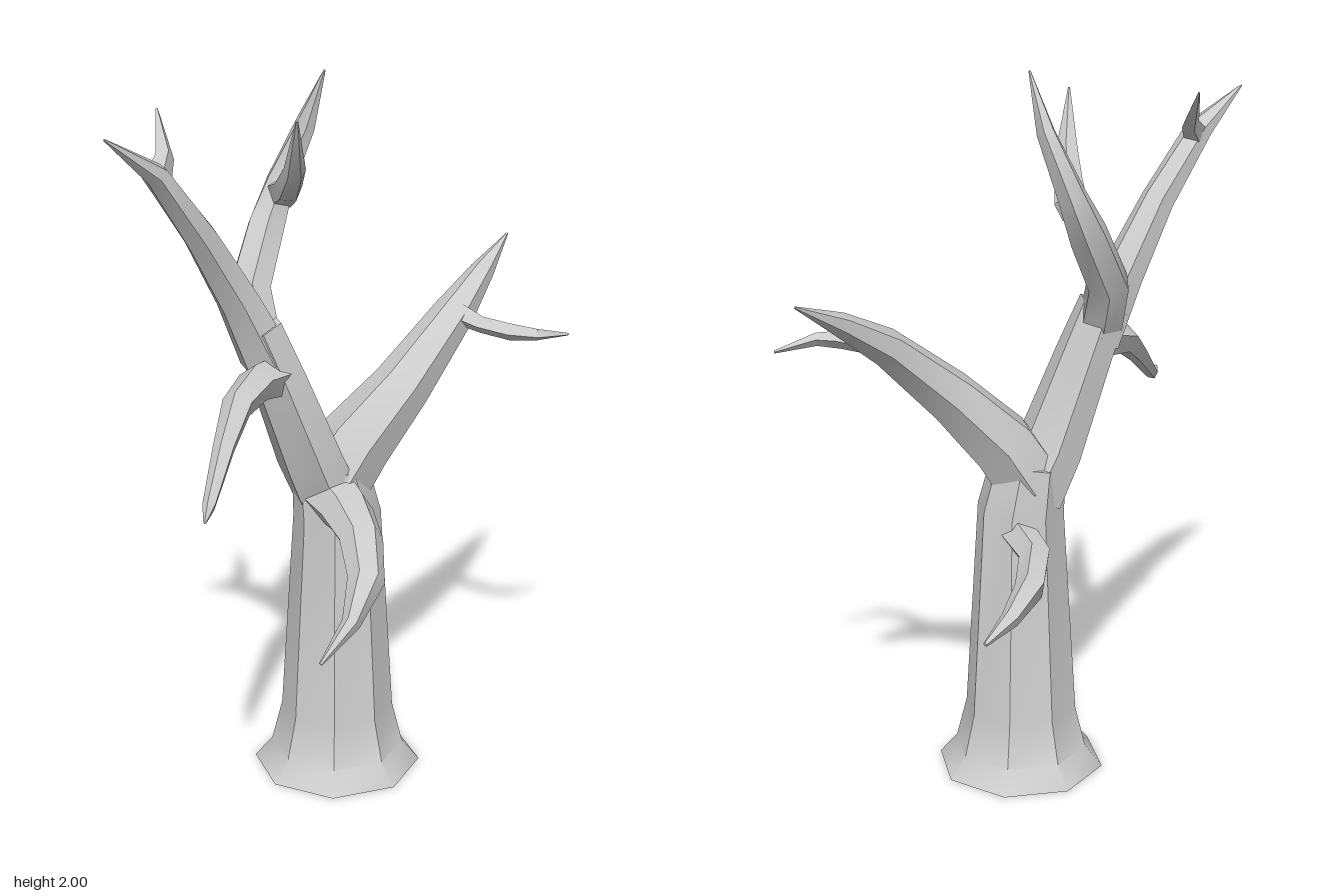
import * as THREE from 'three';
import { toCreasedNormals } from 'three/addons/utils/BufferGeometryUtils.js';

// Lofts a tapering limb through rings [x, y, z, radius, secondRadius?].
function limbGeometry(rings, sides) {
  const centres = rings.map(r => new THREE.Vector3(r[0], r[1], r[2]));
  const last = rings.length - 1;
  const positions = [], index = [];
  const normal = new THREE.Vector3(1, 0, 0);
  const p = new THREE.Vector3();
  rings.forEach((ring, i) => {
    const r1 = ring[3], r2 = ring[4] ?? r1;
    // Ring plane halves the bend; the frame is carried along the path.
    const into = centres[Math.max(i, 1)].clone().sub(centres[Math.max(i, 1) - 1]).normalize();
    const out = centres[Math.min(i + 1, last)].clone().sub(centres[Math.min(i, last - 1)]).normalize();
    const tangent = into.add(out).normalize();
    normal.addScaledVector(tangent, -normal.dot(tangent)).normalize();
    const binormal = tangent.clone().cross(normal);
    for (let s = 0; s < sides; s++) {
      const a = s / sides * Math.PI * 2;
      p.copy(centres[i]).addScaledVector(normal, Math.cos(a) * r1).addScaledVector(binormal, Math.sin(a) * r2);
      positions.push(p.x, p.y, p.z);
    }
  });
  for (let i = 0; i < last; i++) {
    for (let s = 0; s < sides; s++) {
      const a = i * sides + s, b = i * sides + (s + 1) % sides;
      index.push(a, b, b + sides, a, b + sides, a + sides);
    }
  }
  // End caps
  const top = last * sides;
  for (let s = 1; s < sides - 1; s++) {
    index.push(0, s + 1, s, top, top + s, top + s + 1);
  }
  const geometry = new THREE.BufferGeometry();
  geometry.setAttribute('position', new THREE.Float32BufferAttribute(positions, 3));
  geometry.setIndex(index);
  return toCreasedNormals(geometry, 0.7);
}

export function createModel() {
  const tree = new THREE.Group();
  tree.name = 'bareTree';
  const bark = new THREE.MeshStandardMaterial({ color: 0xcccccc });
  const addLimb = (name, sides, rings) => {
    const mesh = new THREE.Mesh(limbGeometry(rings, sides), bark);
    mesh.name = name;
    tree.add(mesh);
  };

  // Octagonal trunk with a flared foot
  addLimb('trunk', 8, [
    [0, 0, 0, 0.24], [0, 0.06, 0, 0.19], [0, 0.18, 0, 0.16],
    [0, 0.78, 0, 0.123], [-0.02, 0.92, -0.01, 0.105],
  ]);

  // Stem leaning to the right, forking into two upper limbs
  addLimb('upperStem', 6, [
    [-0.02, 0.82, -0.01, 0.09, 0.11], [-0.085, 0.95, -0.015, 0.08, 0.115],
    [-0.17, 1.2, -0.05, 0.07, 0.095], [-0.225, 1.35, -0.07, 0.065, 0.08],
  ]);
  addLimb('upperRightLimb', 6, [
    [-0.2, 1.26, -0.06, 0.07, 0.085], [-0.275, 1.43, -0.085, 0.056, 0.066],
    [-0.4, 1.62, -0.075, 0.045, 0.05], [-0.54, 1.805, -0.075, 0.03, 0.045],
    [-0.69, 1.91, -0.07, 0.003],
  ]);
  addLimb('upperRightTwig', 4, [
    [-0.52, 1.79, -0.085, 0.035], [-0.465, 1.83, -0.13, 0.025], [-0.41, 1.93, -0.23, 0.003],
  ]);
  addLimb('upperBackLimb', 6, [
    [-0.215, 1.29, -0.07, 0.06, 0.07], [-0.185, 1.43, -0.145, 0.06, 0.065],
    [-0.085, 1.58, -0.19, 0.055, 0.055], [-0.025, 1.69, -0.2, 0.04, 0.048],
    [0.02, 1.85, -0.145, 0.025, 0.04], [0.02, 2.0, -0.07, 0.003],
  ]);
  addLimb('upperBackTwig', 5, [
    [-0.03, 1.66, -0.19, 0.045], [-0.1, 1.7, -0.08, 0.038],
    [-0.16, 1.77, 0.015, 0.03], [-0.225, 1.92, 0.1, 0.003],
  ]);

  // Long left limb with its twig
  addLimb('leftLimb', 6, [
    [-0.02, 0.86, -0.01, 0.1, 0.11], [0.055, 0.98, 0.015, 0.095, 0.11],
    [0.19, 1.125, 0.06, 0.075, 0.085], [0.39, 1.295, 0.06, 0.052, 0.062],
    [0.54, 1.385, 0.025, 0.032, 0.036], [0.69, 1.46, -0.02, 0.003],
  ]);
  addLimb('leftTwig', 4, [
    [0.385, 1.3, 0.08, 0.034], [0.4, 1.28, 0.16, 0.025],
    [0.42, 1.275, 0.25, 0.025], [0.465, 1.27, 0.305, 0.018], [0.585, 1.25, 0.318, 0.004],
  ]);

  // Side branches drooping off the trunk and stem
  addLimb('frontBranch', 6, [
    [-0.04, 0.85, 0.02, 0.085, 0.075], [-0.08, 0.84, 0.13, 0.075, 0.062],
    [-0.14, 0.815, 0.25, 0.06, 0.053], [-0.22, 0.755, 0.355, 0.05, 0.045],
    [-0.32, 0.68, 0.405, 0.025, 0.035], [-0.42, 0.595, 0.4, 0.005],
  ]);
  addLimb('backBranch', 5, [
    [0.05, 0.74, -0.05, 0.05], [0.08, 0.715, -0.19, 0.045],
    [0.17, 0.685, -0.3, 0.042], [0.29, 0.655, -0.385, 0.026], [0.39, 0.62, -0.42, 0.006],
  ]);
  addLimb('rightBranch', 5, [
    [-0.16, 1.21, -0.04, 0.06], [-0.29, 1.225, 0.005, 0.052],
    [-0.39, 1.2, 0.05, 0.043], [-0.49, 1.125, 0.115, 0.03],
    [-0.61, 1.025, 0.2, 0.018], [-0.68, 1.02, 0.27, 0.004],
  ]);

  return tree;
}
